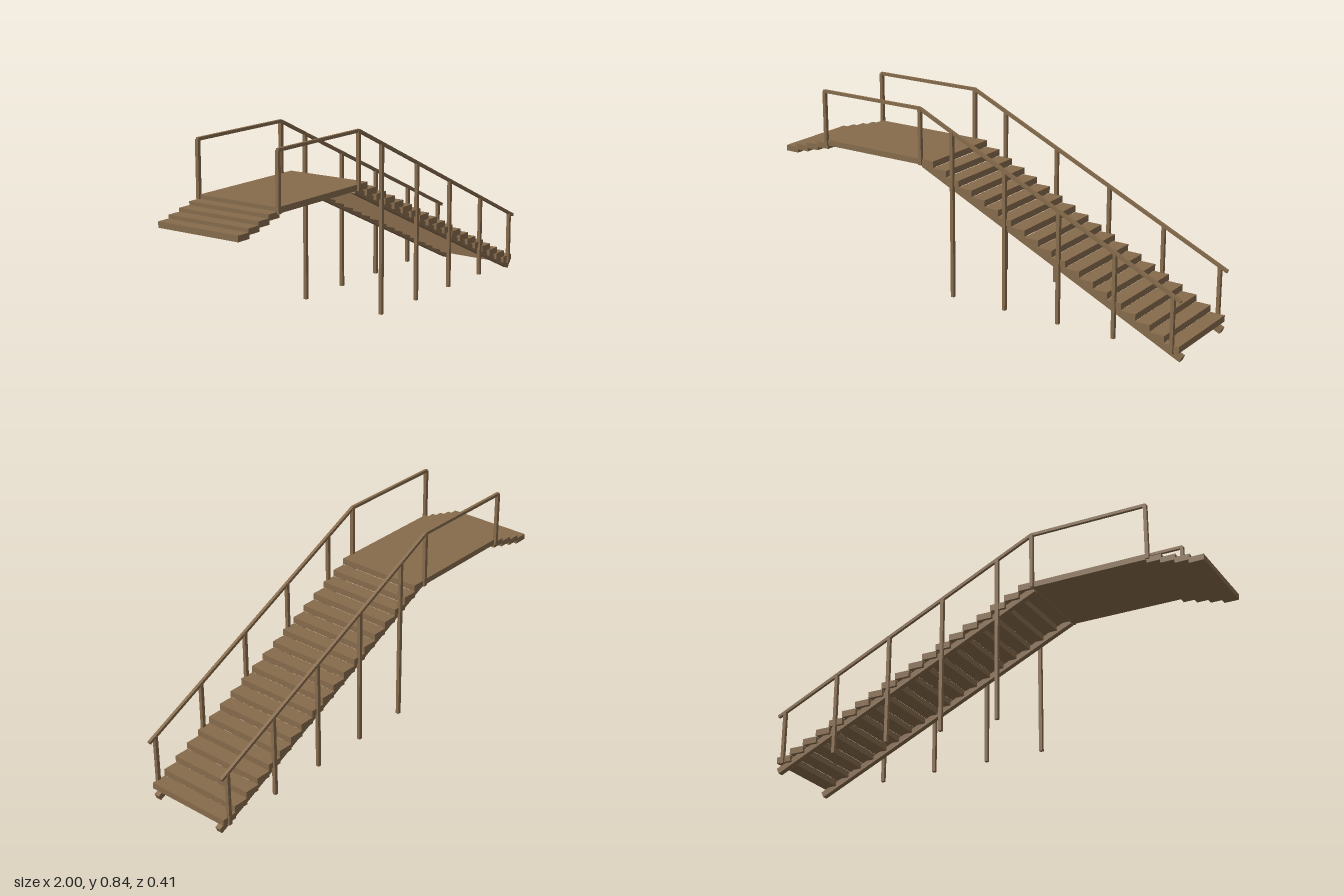
import * as THREE from 'three';

export function createModel() {
  const model = new THREE.Group();
  model.name = 'footbridgeStairs';
  const wood = new THREE.MeshStandardMaterial({ color: 0x866b4c });
  wood.name = 'brownWood';

  function box(name, x0, x1, y0, y1, z0, z1) {
    const mesh = new THREE.Mesh(new THREE.BoxGeometry(x1 - x0, y1 - y0, z1 - z0), wood);
    mesh.position.set((x0 + x1) / 2, (y0 + y1) / 2, (z0 + z1) / 2);
    mesh.name = name;
    model.add(mesh);
  }

  // Beam whose centre line runs between two points in the x-y plane
  function beam(name, [ax, ay], [bx, by], z, height, depth) {
    const length = Math.hypot(bx - ax, by - ay);
    const mesh = new THREE.Mesh(new THREE.BoxGeometry(length, height, depth), wood);
    mesh.position.set((ax + bx) / 2, (ay + by) / 2, z);
    mesh.rotation.z = Math.atan2(by - ay, bx - ax);
    mesh.name = name;
    model.add(mesh);
  }

  // Landing deck
  box('landing', -0.765, -0.25, 0.592, 0.617, -0.195, 0.195);

  // Long flight of open treads
  for (let i = 0; i < 19; i++) {
    const front = -0.185 + i * 0.0653;
    const top = 0.617 - i * 0.0304;
    box('tread', front - 0.068, front, top - 0.0275, top, -0.196, 0.196);
  }

  // Short flight of shallow steps
  for (let i = 0; i < 4; i++) {
    const x = -0.823 - i * 0.059;
    const top = 0.601 - i * 0.0153;
    box('shallowStep', x, x + 0.064, top - 0.025, top, -0.196, 0.196);
  }

  // Posts as [x, bottom, top]
  const posts = [
    [-0.765, 0.592, 0.836], [-0.25, 0.592, 0.836], [-0.087, 0.036, 0.761],
    [0.175, 0.036, 0.64], [0.436, 0.036, 0.518], [0.697, 0.036, 0.397], [0.959, 0.036, 0.275],
  ];

  for (const side of [-1, 1]) {
    // Sloping stringer under the treads
    beam('stringer', [-0.25, 0.591], [0.993, 0.0125], side * 0.17, 0.026, 0.025);

    for (const [x, bottom, top] of posts) {
      const z = side * 0.197;
      box('post', x - 0.0075, x + 0.0075, bottom, top, z - 0.0075, z + 0.0075);
    }

    // Handrails
    beam('landingRail', [-0.768, 0.836], [-0.247, 0.836], side * 0.197, 0.013, 0.013);
    beam('stairRail', [-0.252, 0.837], [0.993, 0.259], side * 0.197, 0.013, 0.013);
  }
  return model;
}
